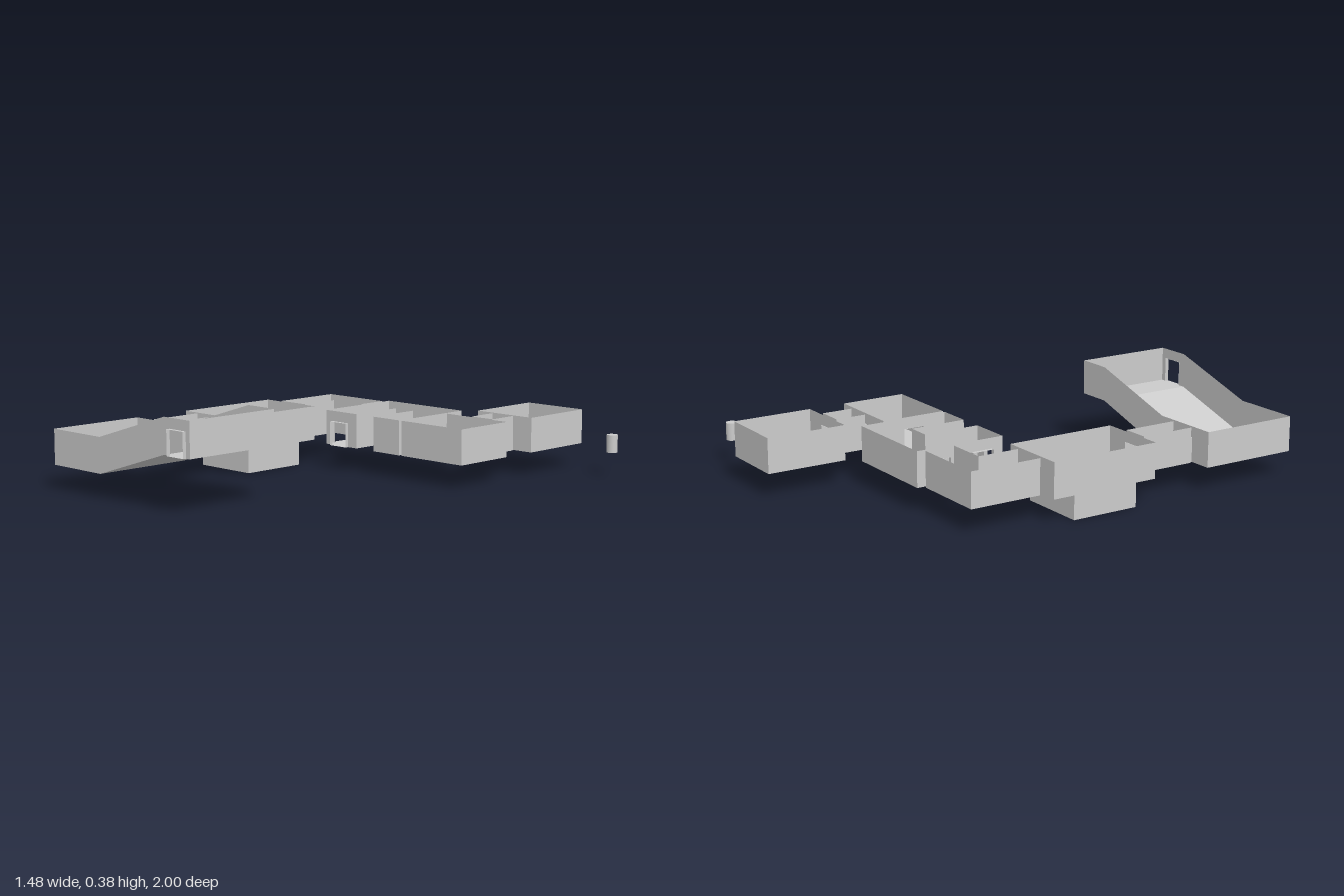
import * as THREE from 'three';

const FLOOR = 0.102, TOP = 0.254, DOOR_H = 0.106, DOOR_W = 0.097, DOOR_D = 0.014;
const thin = new THREE.MeshStandardMaterial({ color: 0xcccccc, side: THREE.DoubleSide, flatShading: true });
const solid = new THREE.MeshStandardMaterial({ color: 0xcccccc });

// Doorways: centre x, centre z, direction of passage, floor height
const doors = [
  { x: 0.047, z: 0.99, axis: 'z', y: 0.23 },
  { x: -0.593, z: 0.533, axis: 'z' },
  { x: -0.593, z: 0.274, axis: 'z' },
  { x: -0.593, z: -0.236, axis: 'z' },
  { x: -0.331, z: -0.494, axis: 'x' },
  { x: -0.331, z: -0.29, axis: 'x' },
  { x: -0.237, z: -0.182, axis: 'z' },
  { x: 0.125, z: -0.341, axis: 'x' },
  { x: 0.323, z: -0.487, axis: 'z' },
  { x: 0.323, z: -0.638, axis: 'z' },
].map((d) => ({ y: FLOOR, ...d }));

// Rooms: outline as [x, z] corners; optional profile as [position, floor, top] along an axis
const rect = (x0, x1, z0, z1) => [[x0, z0], [x1, z0], [x1, z1], [x0, z1]];
const rooms = [
  { name: 'rampHall', outline: rect(-0.745, 0.119, 0.54, 0.983), axis: 'x',
    profile: [[-0.745, FLOOR, TOP], [-0.441, FLOOR, TOP], [-0.033, 0.23, 0.38], [0.119, 0.23, 0.38]] },
  { name: 'frontCorridor', outline: rect(-0.651, -0.534, 0.281, 0.526) },
  { name: 'sunkenRoom', outline: rect(-0.745, -0.441, -0.229, 0.267), axis: 'z',
    profile: [[-0.229, FLOOR, TOP], [-0.132, FLOOR, TOP], [-0.132, 0, TOP],
      [0.172, 0, TOP], [0.172, FLOOR, TOP], [0.267, FLOOR, TOP]] },
  { name: 'cornerCorridor', outline: [[-0.67, -0.243], [-0.67, -0.563], [-0.338, -0.563],
    [-0.338, -0.43], [-0.517, -0.43], [-0.517, -0.243]] },
  { name: 'horseshoeRoom', outline: [[-0.324, -0.19], [-0.324, -0.594], [0.118, -0.594], [0.118, -0.19],
    [-0.033, -0.19], [-0.033, -0.442], [-0.137, -0.442], [-0.137, -0.19]] },
  { name: 'sideRoom', outline: rect(0.132, 0.473, -0.48, -0.19) },
  { name: 'backCorridor', outline: rect(0.265, 0.381, -0.631, -0.494) },
  { name: 'backRoom', outline: rect(0.169, 0.473, -1, -0.645) },
];

function mesh(name, geometry, material = thin) {
  const m = new THREE.Mesh(geometry, material);
  m.name = name;
  return m;
}

// One upright wall running along an axis, with doorways notched into its foot
function wall(axis, at, profile) {
  const across = axis === 'x' ? 'z' : 'x';
  const from = profile[0][0], to = profile[profile.length - 1][0];
  const foot = profile.map(([t, low]) => [t, low]);
  for (const d of doors) {
    if (d.axis !== across || Math.abs(d[across] - at) > 0.012 || d[axis] < from || d[axis] > to) continue;
    const l = d[axis] - DOOR_W / 2, r = d[axis] + DOOR_W / 2;
    foot.push([l, d.y], [l, d.y + DOOR_H], [r, d.y + DOOR_H], [r, d.y]);
  }
  foot.sort((a, b) => a[0] - b[0]);
  const head = profile.map(([t, , high]) => [t, high])
    .filter((p, i, all) => i === 0 || p[0] !== all[i - 1][0]).reverse();
  const shape = new THREE.Shape([...foot, ...head].map(([t, y]) => new THREE.Vector2(t, y)));
  const geo = new THREE.ShapeGeometry(shape);
  return axis === 'x' ? geo.translate(0, 0, at) : geo.rotateY(-Math.PI / 2).translate(at, 0, 0);
}

// Floor: a flat outline, or a strip following the stepped or sloping profile
function floor({ outline, axis, profile }) {
  if (!profile) {
    const shape = new THREE.Shape(outline.map(([x, z]) => new THREE.Vector2(x, -z)));
    return new THREE.ShapeGeometry(shape).rotateX(-Math.PI / 2).translate(0, FLOOR, 0);
  }
  const n = profile.length, k = axis === 'x' ? 1 : 0;
  const sides = [outline[0][k], outline[2][k]];
  const geo = new THREE.PlaneGeometry(1, 1, n - 1, 1);
  const pos = geo.attributes.position;
  for (let i = 0; i < pos.count; i++) {
    const [t, y] = profile[i % n], s = sides[Math.floor(i / n)];
    if (axis === 'x') pos.setXYZ(i, t, y, s);
    else pos.setXYZ(i, s, y, t);
  }
  const flat = geo.toNonIndexed();
  flat.computeVertexNormals();
  return flat;
}

function buildRoom(room) {
  const group = new THREE.Group();
  group.name = room.name;
  group.add(mesh('floor', floor(room)));
  room.outline.forEach((a, i) => {
    const b = room.outline[(i + 1) % room.outline.length];
    const k = a[1] === b[1] ? 0 : 1;
    const axis = k === 0 ? 'x' : 'z', at = a[1 - k];
    const from = Math.min(a[k], b[k]), to = Math.max(a[k], b[k]);
    let profile = [[from, FLOOR, TOP], [to, FLOOR, TOP]];
    if (room.profile && room.axis === axis) profile = room.profile;
    else if (room.profile) {
      const [, low, high] = room.profile.find((p) => p[0] === at);
      profile = [[from, low, high], [to, low, high]];
    }
    group.add(mesh('wall', wall(axis, at, profile)));
  });
  return group;
}

// Short open-ended sleeve lining a doorway
function doorSleeve(d) {
  const geo = new THREE.BoxGeometry(DOOR_W, DOOR_H, DOOR_D + 0.003);
  geo.setIndex(Array.from(geo.index.array.slice(0, 24))); // drop the two end faces
  if (d.axis === 'x') geo.rotateY(Math.PI / 2);
  return mesh('doorway', geo.translate(d.x, d.y + DOOR_H / 2, d.z));
}

export function createModel() {
  const model = new THREE.Group();
  model.name = 'roomLayout';
  rooms.forEach((r) => model.add(buildRoom(r)));
  doors.forEach((d) => model.add(doorSleeve(d)));

  // Free-standing post beside the rooms
  const post = mesh('post', new THREE.CylinderGeometry(0.024, 0.024, 0.077, 20), solid);
  post.position.set(0.715, FLOOR + 0.0385, -0.9);
  model.add(post);

  // Small items on the back room floor
  const item = (name, w, h, d, x, z) => {
    const m = mesh(name, new THREE.BoxGeometry(w, h, d), solid);
    m.position.set(x, FLOOR + h / 2, z);
    model.add(m);
  };
  item('smallBlock', 0.02, 0.016, 0.02, 0.322, -0.852);
  item('smallRod', 0.004, 0.004, 0.03, 0.332, -0.828);
  for (const side of [-1, 1]) item('doorStop', 0.01, 0.018, 0.01, 0.323 + side * 0.053, -0.652);
  return model;
}
